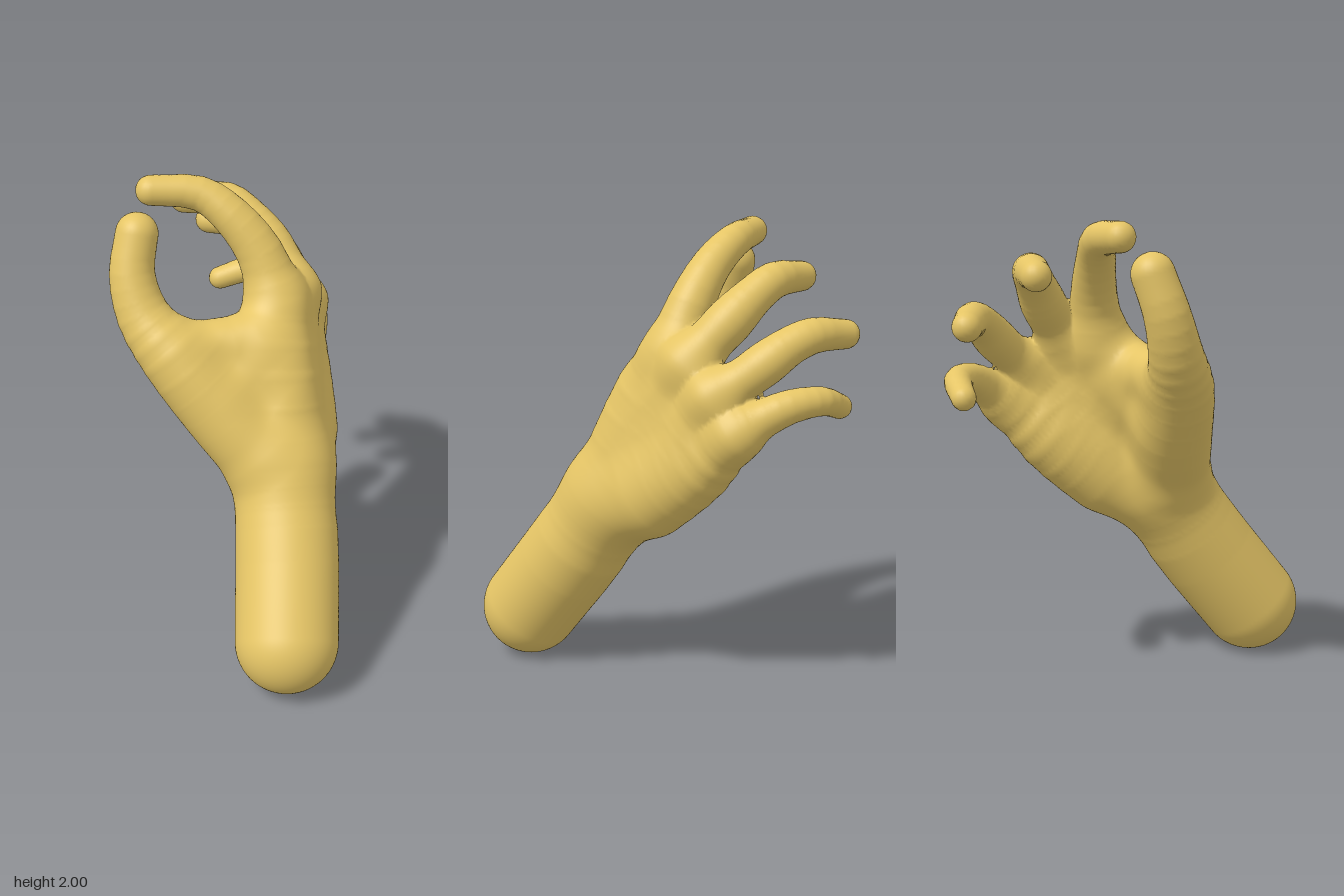
import * as THREE from 'three';
import { mergeVertices } from 'three/addons/utils/BufferGeometryUtils.js';

// Bones of the hand: chains of [x, y, z, radius]
const FOREARM = [[0.36, 0.22, 0.53, 0.22], [0.25, 0.58, 0.265, 0.22], [0.175, 0.8, 0.14, 0.205]];
const PALM = [
  [[0.17, 0.82, 0.12, 0.18], [0.115, 1.17, 0.01, 0.155], [0.045, 1.48, -0.14, 0.11]],
  [[0.17, 0.82, 0.08, 0.17], [0.1, 1.15, -0.12, 0.135], [0.055, 1.45, -0.28, 0.107]],
  [[0.15, 0.84, -0.03, 0.16], [0.08, 1.1, -0.25, 0.135], [0.04, 1.34, -0.43, 0.098]],
  [[0.13, 0.87, -0.13, 0.178], [0.05, 1.03, -0.345, 0.148], [0.0, 1.2, -0.53, 0.1]],
  // web between thumb and index finger
  [[-0.25, 1.33, 0.19, 0.108], [-0.02, 1.355, 0.02, 0.11], [0.03, 1.41, -0.1, 0.11]],
  // fleshy hollow of the palm
  [[-0.07, 1.12, 0.16, 0.13], [0.03, 1.28, 0.0, 0.14]],
];
const DIGITS = {
  thumb: [[0.08, 0.9, 0.18, 0.17], [-0.1, 1.1, 0.2, 0.165], [-0.28, 1.31, 0.23, 0.144],
    [-0.42, 1.46, 0.22, 0.113], [-0.485, 1.63, 0.187, 0.096], [-0.485, 1.79, 0.13, 0.09]],
  indexFinger: [[0.03, 1.47, -0.135, 0.118], [-0.045, 1.665, -0.145, 0.1], [-0.17, 1.825, -0.125, 0.084],
    [-0.3, 1.912, -0.1, 0.073], [-0.48, 1.935, 0.0, 0.064]],
  middleFinger: [[0.055, 1.45, -0.28, 0.107], [-0.02, 1.55, -0.325, 0.096], [-0.1, 1.635, -0.355, 0.098],
    [-0.2, 1.725, -0.375, 0.084], [-0.3, 1.783, -0.38, 0.077], [-0.485, 1.78, -0.335, 0.064]],
  ringFinger: [[0.04, 1.34, -0.43, 0.098], [-0.05, 1.42, -0.51, 0.088], [-0.13, 1.488, -0.56, 0.09],
    [-0.22, 1.55, -0.592, 0.08], [-0.32, 1.587, -0.615, 0.074], [-0.495, 1.575, -0.615, 0.062]],
  littleFinger: [[0.0, 1.2, -0.53, 0.1], [-0.06, 1.255, -0.585, 0.083], [-0.18, 1.318, -0.655, 0.07],
    [-0.32, 1.328, -0.685, 0.06], [-0.455, 1.28, -0.64, 0.052]],
};
const NAMES = ['forearm', 'palm', ...Object.keys(DIGITS)];

// Refine a chain into a smooth curve with smoothly varying radius
function refine(points) {
  const path = new THREE.CatmullRomCurve3(points.map((p) => new THREE.Vector3(p[0], p[1], p[2])));
  const radius = new THREE.SplineCurve(points.map((p, i) => new THREE.Vector2(i, p[3])));
  const n = (points.length - 1) * 3;
  return Array.from({ length: n + 1 }, (_, i) => [...path.getPoint(i / n).toArray(), radius.getPoint(i / n).y]);
}
const forearmCurve = refine(FOREARM);
const palmCurves = PALM.map(refine);
const digitCurves = Object.values(DIGITS).map(refine);

// Smooth minimum: blends two distances over width k
function blend(a, b, k) {
  const h = Math.max(k - Math.abs(a - b), 0) / k;
  return Math.min(a, b) - h * h * k * 0.25;
}

// Distance to one tapered bone
function bone(x, y, z, a, b) {
  const ux = b[0] - a[0], uy = b[1] - a[1], uz = b[2] - a[2];
  const px = x - a[0], py = y - a[1], pz = z - a[2];
  const t = Math.min(1, Math.max(0, (px * ux + py * uy + pz * uz) / (ux * ux + uy * uy + uz * uz)));
  const dx = px - t * ux, dy = py - t * uy, dz = pz - t * uz;
  return Math.sqrt(dx * dx + dy * dy + dz * dz) - a[3] - t * (b[3] - a[3]);
}

function chain(x, y, z, c) {
  let d = 9;
  for (let i = 1; i < c.length; i++) d = Math.min(d, bone(x, y, z, c[i - 1], c[i]));
  return d;
}

// Distance to each named part
function partDistances(x, y, z) {
  const palm = palmCurves.reduce((d, c) => blend(d, chain(x, y, z, c), 0.09), 9);
  return [chain(x, y, z, forearmCurve), palm, ...digitCurves.map((c) => chain(x, y, z, c))];
}

// Whole skin: every digit melts into the hand but not into its neighbours
function skin(x, y, z) {
  const [arm, palm, ...digits] = partDistances(x, y, z);
  const hand = blend(arm, palm, 0.12);
  return digits.reduce((d, f) => Math.min(d, blend(hand, f, 0.07)), hand);
}

function gradient(x, y, z) {
  const e = 0.008;
  return new THREE.Vector3(
    skin(x + e, y, z) - skin(x - e, y, z),
    skin(x, y + e, z) - skin(x, y - e, z),
    skin(x, y, z + e) - skin(x, y, z - e),
  ).normalize();
}

// Skin mesh on a regular grid: one vertex per crossed cell, one quad per crossed edge
function buildSkin() {
  const step = 0.017, origin = [-0.66, -0.06, -0.82], size = [80, 126, 96];
  const stride = [1, size[0], size[0] * size[1]];
  const at = (i, j, k) => i + j * stride[1] + k * stride[2];
  const field = new Float32Array(size[0] * size[1] * size[2]);
  const cellVertex = new Int32Array(field.length).fill(-1);
  const position = [], normal = [], owner = [];
  const faces = NAMES.map(() => []);

  for (let k = 0; k < size[2]; k++) for (let j = 0; j < size[1]; j++) for (let i = 0; i < size[0]; i++) {
    field[at(i, j, k)] = skin(origin[0] + i * step, origin[1] + j * step, origin[2] + k * step);
  }

  for (let k = 0; k < size[2] - 1; k++) for (let j = 0; j < size[1] - 1; j++) for (let i = 0; i < size[0] - 1; i++) {
    const c = at(i, j, k), sum = [0, 0, 0];
    let count = 0;
    // average the crossings on the twelve edges of the cell
    for (let a = 0; a < 3; a++) {
      const b = (a + 1) % 3, d = (a + 2) % 3;
      for (let n = 0; n < 4; n++) {
        const u = n & 1, v = n >> 1;
        const s = c + u * stride[b] + v * stride[d];
        const f0 = field[s], f1 = field[s + stride[a]];
        if ((f0 < 0) === (f1 < 0)) continue;
        sum[a] += f0 / (f0 - f1);
        sum[b] += u;
        sum[d] += v;
        count++;
      }
    }
    if (!count) continue;
    const p = new THREE.Vector3(i, j, k).add(new THREE.Vector3(...sum).divideScalar(count))
      .multiplyScalar(step).add(new THREE.Vector3(...origin));
    const g = gradient(p.x, p.y, p.z);
    p.addScaledVector(g, -skin(p.x, p.y, p.z));
    const nearest = partDistances(p.x, p.y, p.z);
    cellVertex[c] = owner.length;
    owner.push(nearest.indexOf(Math.min(...nearest)));
    position.push(p.x, p.y, p.z);
    normal.push(...gradient(p.x, p.y, p.z).toArray());
  }

  for (let k = 1; k < size[2] - 1; k++) for (let j = 1; j < size[1] - 1; j++) for (let i = 1; i < size[0] - 1; i++) {
    const c = at(i, j, k);
    for (let a = 0; a < 3; a++) {
      const inside = field[c] < 0;
      if (inside === (field[c + stride[a]] < 0)) continue;
      const sb = stride[(a + 1) % 3], sd = stride[(a + 2) % 3];
      const q = [c - sb - sd, c - sd, c, c - sb].map((n) => cellVertex[n]);
      if (!inside) q.reverse();
      faces[owner[q[0]]].push(q[0], q[1], q[2], q[0], q[2], q[3]);
    }
  }
  return { position, normal, faces };
}

export function createModel() {
  const group = new THREE.Group();
  group.name = 'hand';
  const material = new THREE.MeshStandardMaterial({ color: 0xe5c566 });
  const { position, normal, faces } = buildSkin();

  // one seamless mesh per named part
  NAMES.forEach((name, n) => {
    const whole = new THREE.BufferGeometry();
    whole.setAttribute('position', new THREE.Float32BufferAttribute(position, 3));
    whole.setAttribute('normal', new THREE.Float32BufferAttribute(normal, 3));
    whole.setIndex(faces[n]);
    const mesh = new THREE.Mesh(mergeVertices(whole.toNonIndexed(), 1e-5), material);
    mesh.name = name;
    group.add(mesh);
  });
  return group;
}
